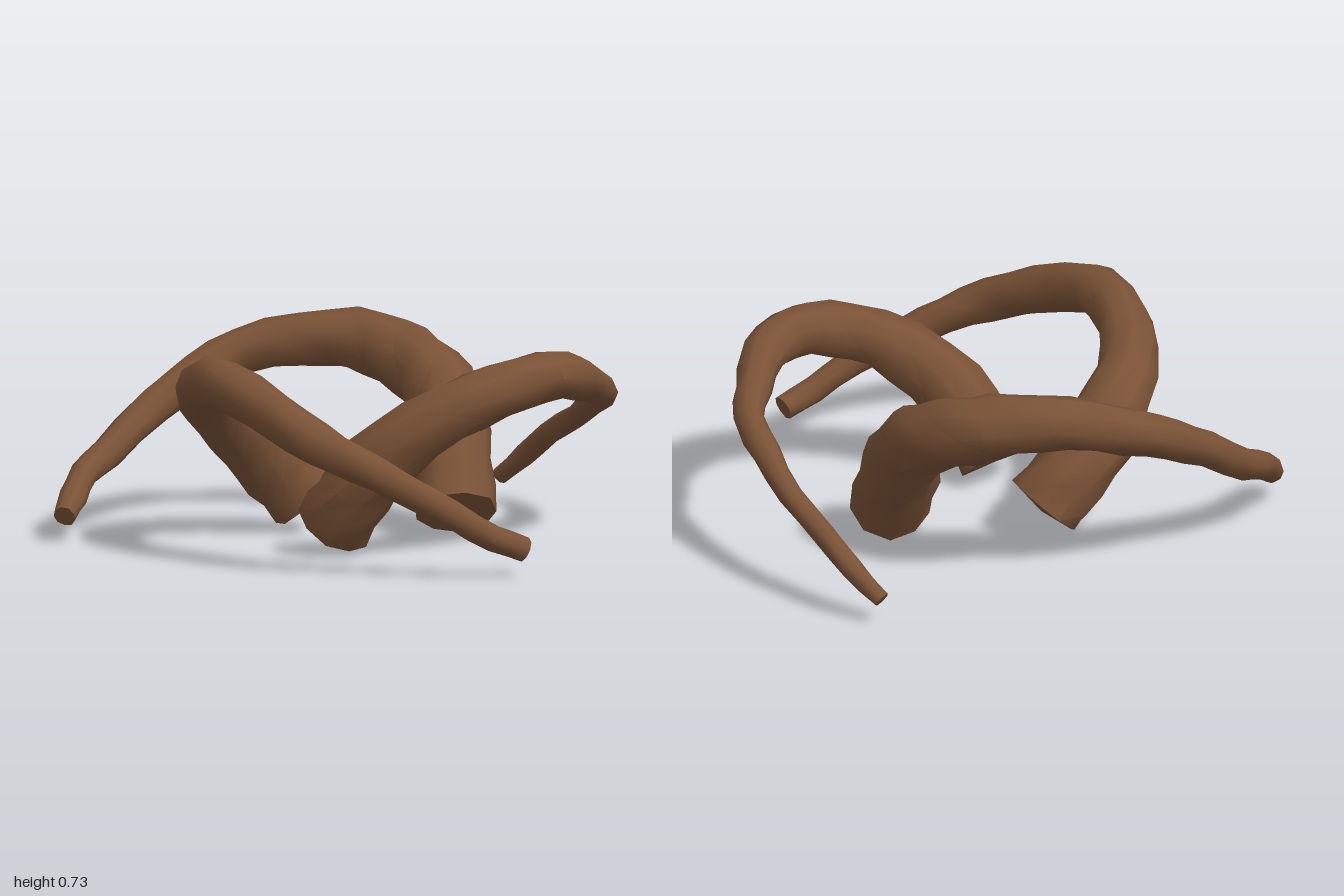
import * as THREE from 'three';
import { toCreasedNormals } from 'three/addons/utils/BufferGeometryUtils.js';

const SIDES = 9;

// Tapered, slightly knobbly tube through control points [x, y, z, radius], capped at both ends
function rootGeometry(points, seed) {
  const curve = new THREE.CatmullRomCurve3(points.map(p => new THREE.Vector3(p[0], p[1], p[2])));
  const spans = points.length - 1;
  const rings = spans * 2;
  const up = new THREE.Vector3(0, 1, 0);
  const pos = [];
  const index = [];

  for (let i = 0; i <= rings; i++) {
    const t = i / rings;
    const k = Math.min(Math.floor(t * spans), spans - 1);
    const radius = THREE.MathUtils.lerp(points[k][3], points[k + 1][3], t * spans - k);
    const centre = curve.getPoint(t);
    const tangent = curve.getTangent(t);
    const side = tangent.clone().cross(up).normalize();
    const normal = side.clone().cross(tangent);
    for (let j = 0; j < SIDES; j++) {
      const a = (j / SIDES) * Math.PI * 2;
      const r = radius * (1 + 0.05 * Math.sin(i * 2.3 + j * 1.9 + seed));
      const v = centre.clone()
        .addScaledVector(side, r * Math.cos(a))
        .addScaledVector(normal, r * Math.sin(a));
      pos.push(v.x, v.y, v.z);
    }
  }
  for (let i = 0; i < rings; i++) {
    for (let j = 0; j < SIDES; j++) {
      const j1 = (j + 1) % SIDES;
      const a = i * SIDES + j, b = i * SIDES + j1;
      index.push(a, a + SIDES, b, b, a + SIDES, b + SIDES);
    }
  }
  // End caps, the thick one bulging a little
  const first = curve.getPoint(0).addScaledVector(curve.getTangent(0), -0.02);
  const last = curve.getPoint(1);
  const apex = pos.length / 3;
  pos.push(first.x, first.y, first.z, last.x, last.y, last.z);
  for (let j = 0; j < SIDES; j++) {
    const j1 = (j + 1) % SIDES;
    index.push(apex, j, j1, apex + 1, rings * SIDES + j1, rings * SIDES + j);
  }
  const geometry = new THREE.BufferGeometry();
  geometry.setAttribute('position', new THREE.Float32BufferAttribute(pos, 3));
  geometry.setIndex(index);
  return toCreasedNormals(geometry, 0.95);
}

export function createModel() {
  const model = new THREE.Group();
  model.name = 'twistedRoots';
  const bark = new THREE.MeshStandardMaterial({ color: 0x7a5236 });
  bark.name = 'bark brown';

  const roots = {
    // Rises at the right, arches over the back, ends at the left
    backRoot: [
      [0.41, 0.10, -0.09, 0.145], [0.425, 0.27, -0.22, 0.145], [0.445, 0.44, -0.39, 0.135],
      [0.41, 0.53, -0.53, 0.13], [0.32, 0.59, -0.67, 0.125], [0.19, 0.63, -0.765, 0.11],
      [0, 0.625, -0.815, 0.095], [-0.2, 0.585, -0.86, 0.085], [-0.38, 0.51, -0.805, 0.075],
      [-0.54, 0.42, -0.73, 0.065], [-0.74, 0.28, -0.59, 0.058], [-0.85, 0.22, -0.48, 0.05],
      [-0.92, 0.15, -0.36, 0.05], [-0.965, 0.10, -0.28, 0.04],
    ],
    // Rises behind the middle, loops round the left, ends at the front
    leftRoot: [
      [-0.07, 0.13, -0.37, 0.14], [-0.17, 0.24, -0.37, 0.14], [-0.29, 0.36, -0.33, 0.135],
      [-0.45, 0.51, -0.19, 0.115], [-0.53, 0.6, 0.05, 0.098], [-0.515, 0.64, 0.3, 0.092],
      [-0.385, 0.56, 0.55, 0.085], [-0.27, 0.48, 0.71, 0.078], [-0.13, 0.41, 0.79, 0.065],
      [0, 0.34, 0.84, 0.058], [0.18, 0.24, 0.89, 0.05], [0.33, 0.15, 0.9, 0.048],
      [0.45, 0.105, 0.875, 0.045],
    ],
    // Rises in the middle, sweeps round the front and right, ends at the back
    rightRoot: [
      [-0.095, 0.11, 0.185, 0.14], [-0.03, 0.25, 0.28, 0.135], [0.09, 0.4, 0.35, 0.125],
      [0.28, 0.53, 0.4, 0.105], [0.47, 0.6, 0.38, 0.1], [0.65, 0.635, 0.305, 0.09],
      [0.78, 0.61, 0.2, 0.08], [0.87, 0.56, 0.05, 0.065], [0.945, 0.51, -0.1, 0.055],
      [0.955, 0.455, -0.3, 0.052], [0.94, 0.37, -0.5, 0.042], [0.88, 0.28, -0.7, 0.042],
      [0.825, 0.19, -0.82, 0.04], [0.75, 0.1, -0.92, 0.03],
    ],
  };
  Object.entries(roots).forEach(([name, points], i) => {
    const mesh = new THREE.Mesh(rootGeometry(points, i * 2), bark);
    mesh.name = name;
    model.add(mesh);
  });
  return model;
}
